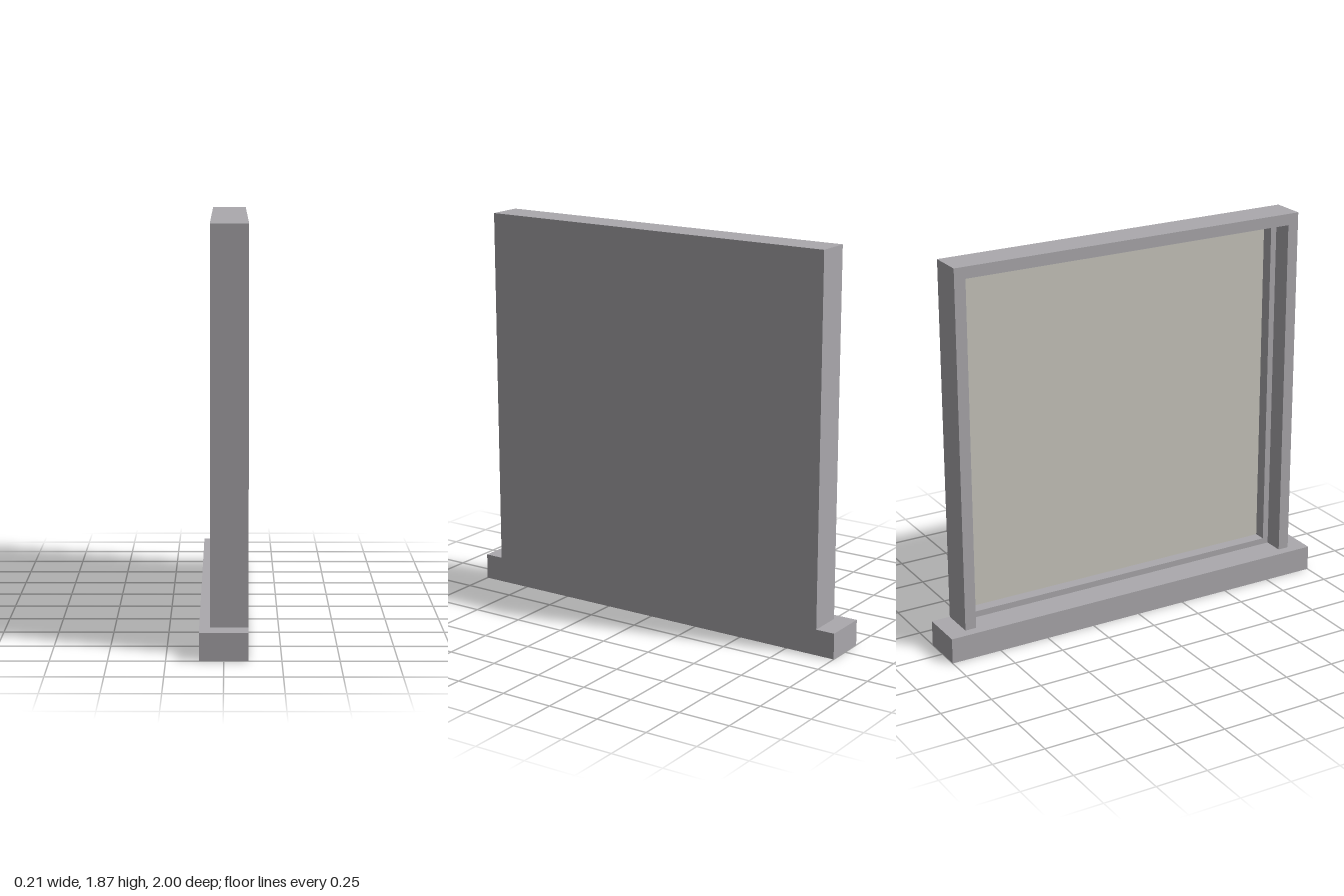
import * as THREE from 'three';

export function createModel() {
  const model = new THREE.Group();
  const frameGrey = new THREE.MeshStandardMaterial({ color: 0xaba9ad });
  frameGrey.name = 'frame grey';
  const paneGrey = new THREE.MeshStandardMaterial({ color: 0xc8c6bd });
  paneGrey.name = 'warm pane grey';

  // Box given by its lower and upper corners
  function box(name, material, [x0, y0, z0], [x1, y1, z1]) {
    const mesh = new THREE.Mesh(new THREE.BoxGeometry(x1 - x0, y1 - y0, z1 - z0), material);
    mesh.position.set((x0 + x1) / 2, (y0 + y1) / 2, (z0 + z1) / 2);
    mesh.name = name;
    model.add(mesh);
  }

  const back = 0.107, skin = 0.103, paneFace = 0.1;
  const face = -0.059, stopFace = 0.04;
  const sillTop = 0.124, top = 1.87, half = 0.907;
  const border = 0.055, stop = 0.03;
  const inner = half - border, innerTop = top - border;
  const clear = inner - stop;

  // Sill, wider and deeper than the frame
  box('sill', frameGrey, [-back, 0, -1], [back, sillTop, 1]);

  // Outer frame
  box('frameHead', frameGrey, [face, innerTop, -half], [skin, top, half]);
  // Stepped stop around the pane
  box('stopHead', frameGrey, [stopFace, innerTop - stop, -inner], [skin, innerTop, inner]);
  box('stopBottom', frameGrey, [stopFace, sillTop, -inner], [skin, sillTop + stop, inner]);
  for (const s of [-1, 1]) {
    const span = (a, b) => [Math.min(s * a, s * b), Math.max(s * a, s * b)];
    const [j0, j1] = span(inner, half);
    box('frameJamb', frameGrey, [face, sillTop, j0], [skin, innerTop, j1]);
    const [k0, k1] = span(clear, inner);
    box('stopJamb', frameGrey, [stopFace, sillTop + stop, k0], [skin, innerTop - stop, k1]);
  }

  // Thin pane with the flush backing behind it
  box('pane', paneGrey, [paneFace, sillTop + stop, -clear], [skin, innerTop - stop, clear]);
  box('backing', frameGrey, [skin, sillTop, -half], [back, top, half]);

  return model;
}
